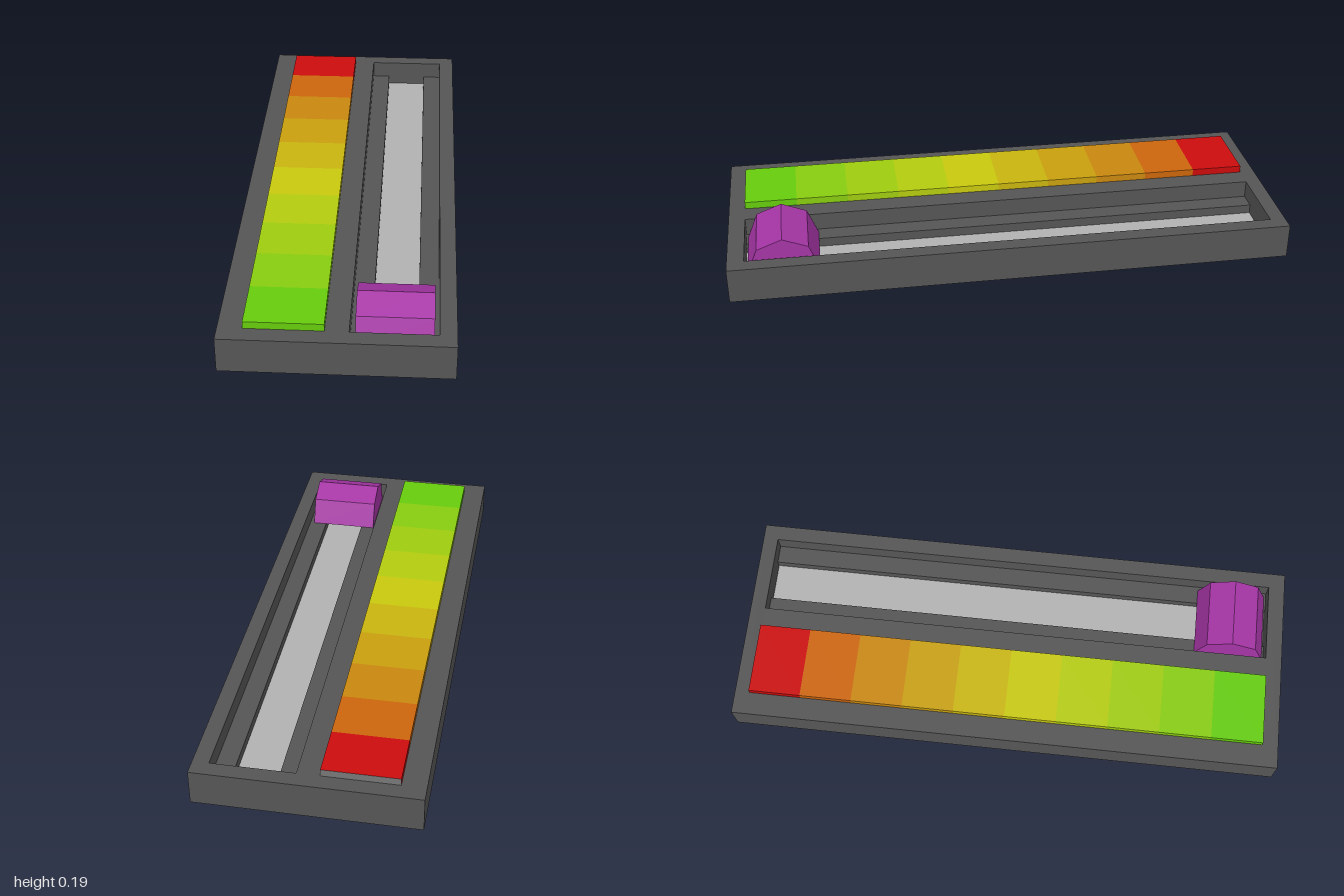
import * as THREE from 'three';

const material = (color) => new THREE.MeshStandardMaterial({ color, flatShading: true });

function add(group, name, geometry, mat) {
  const mesh = new THREE.Mesh(geometry, mat);
  mesh.name = name;
  group.add(mesh);
  return mesh;
}

// Box given by its minimum and maximum corners
function block(x0, x1, y0, y1, z0, z1) {
  return new THREE.BoxGeometry(x1 - x0, y1 - y0, z1 - z0)
    .translate((x0 + x1) / 2, (y0 + y1) / 2, (z0 + z1) / 2);
}

// Closed outline pushed along +z
function prism(points, depth) {
  const shape = new THREE.Shape(points.map(([x, y]) => new THREE.Vector2(x, y)));
  return new THREE.ExtrudeGeometry(shape, { depth, bevelEnabled: false });
}

export function createModel() {
  const model = new THREE.Group();
  model.name = 'sliderPanel';

  const W = 0.38, H = 0.127;                    // half width and height of the base
  const Z0 = -0.945, Z1 = 0.941;                // ends of the slot and colour bar
  const S0 = 0.039, S1 = 0.324, ledge = 0.063;  // slot sides and ledge height
  const G0 = 0.107, G1 = 0.257, floor = 0.03;   // groove sides and floor height

  // Base: stepped channel section closed by two end blocks
  const base = new THREE.Group();
  base.name = 'base';
  model.add(base);
  const dark = material(0x555555);
  const section = [
    [-W, 0], [W, 0], [W, H], [S1, H], [S1, ledge], [G1, ledge], [G1, floor - 0.005],
    [G0, floor - 0.005], [G0, ledge], [S0, ledge], [S0, H], [-W, H],
  ];
  add(base, 'channelBody', prism(section, Z1 - Z0).translate(0, 0, Z0), dark);
  add(base, 'backEnd', block(-W, W, 0, H, -1, Z0), dark);
  add(base, 'frontEnd', block(-W, W, 0, H, Z1, 1), dark);

  // Pale strip lying in the bottom of the groove
  add(model, 'grooveStrip', block(G0, G1, floor - 0.005, floor, Z0, Z1), material(0xb2b2b2));

  // Colour scale, from red at the back to green at the front
  const scale = new THREE.Group();
  scale.name = 'colourScale';
  model.add(scale);
  const colours = [0xcc0c0c, 0xcc660c, 0xc9880f, 0xc9a00f, 0xc9b50f,
    0xc9c90f, 0xb5cc0f, 0xa0cc0f, 0x88cc0f, 0x66cc0c];
  const step = (Z1 - Z0) / colours.length;
  colours.forEach((colour, i) => {
    const z = Z0 + i * step;
    const mat = material(colour);
    // The back end of the scale is left grey
    const mats = i === 0 ? [mat, mat, mat, mat, mat, material(0x777777)] : mat;
    add(scale, 'scaleSegment' + (i + 1), block(-0.298, -0.039, H, 0.153, z, z + step), mats);
  });

  // Slider knob: ridged section running across the slot
  const knobWidth = 0.251;
  const knob = prism([
    [-0.127, ledge], [0.127, ledge], [0.09, 0.156], [0, 0.191], [-0.09, 0.156],
  ], knobWidth);
  knob.translate(0, 0, -knobWidth / 2).rotateY(Math.PI / 2);
  add(model, 'sliderKnob', knob, material(0xa535a5)).position.set(0.1825, 0, 0.807);

  return model;
}
